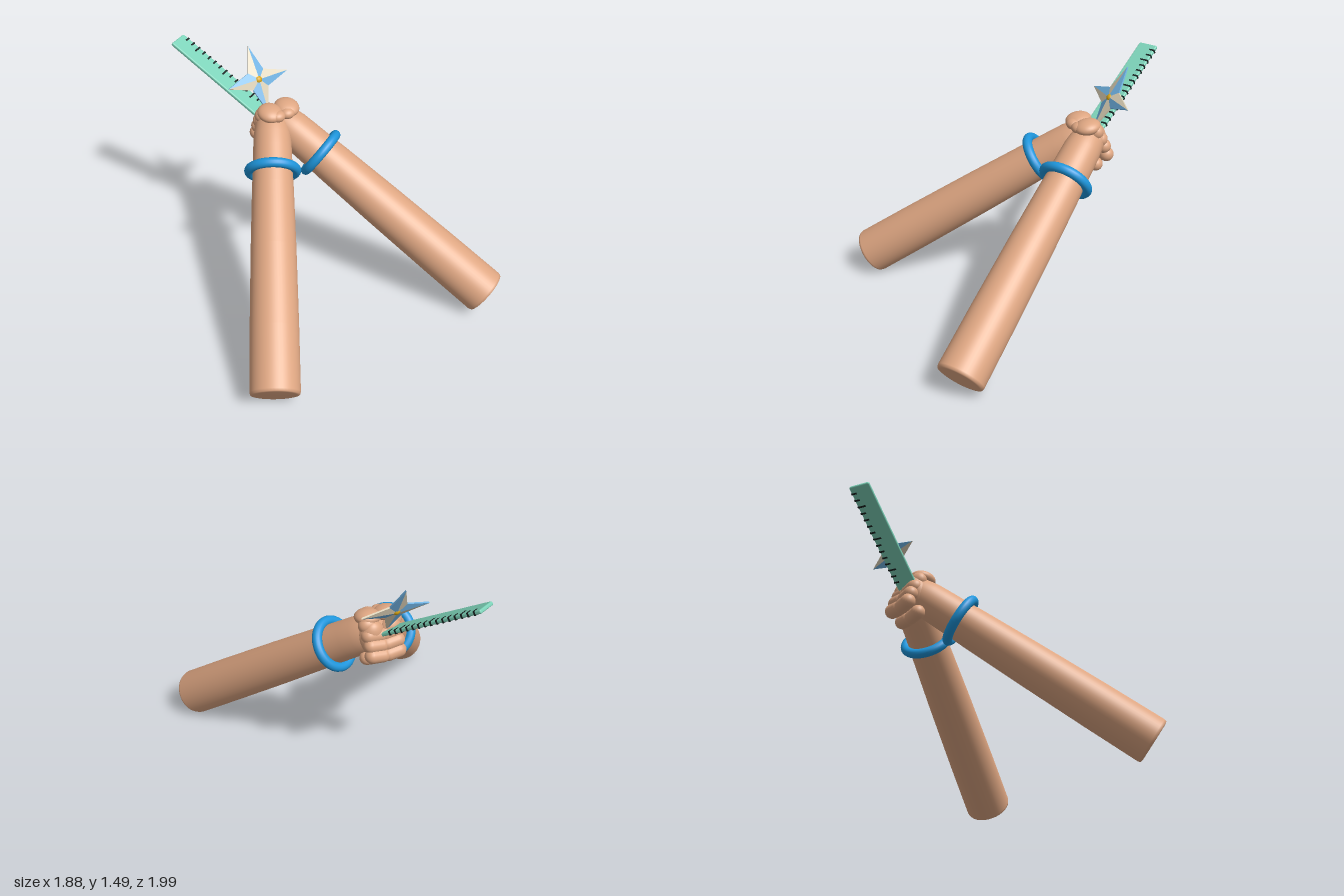
import * as THREE from 'three';
import { RoundedBoxGeometry } from 'three/addons/geometries/RoundedBoxGeometry.js';

function makeMaterial(name, color, side = THREE.FrontSide) {
  const m = new THREE.MeshStandardMaterial({ color, side });
  m.name = name;
  return m;
}

export function createModel() {
  const model = new THREE.Group();
  const skin = makeMaterial('skin', 0xdea682);
  const blue = makeMaterial('bangle blue', 0x1e96dc);
  const green = makeMaterial('ruler green', 0x7dd3b9);
  const black = makeMaterial('tick black', 0x16201f);
  const cream = makeMaterial('star cream', 0xdbd0b6);
  const sky = makeMaterial('star blue', 0x6fb2e2);
  const gold = makeMaterial('gold', 0xd9a615);

  const add = (parent, name, geometry, material, position = [0, 0, 0]) => {
    const mesh = new THREE.Mesh(geometry, material);
    mesh.name = name;
    mesh.position.set(...position);
    parent.add(mesh);
    return mesh;
  };

  // Forearm profile: radius, distance from the cut end to the hand
  const armProfile = [
    [0, 0], [0.13, 0], [0.146, 0.004], [0.151, 0.02], [0.148, 0.4], [0.14, 0.9], [0.13, 1.3],
    [0.125, 1.42], [0.122, 1.55], [0.119, 1.64], [0.108, 1.72], [0.08, 1.78], [0.04, 1.81], [0, 1.82],
  ].map(([r, y]) => new THREE.Vector2(r, y));

  // Soft rounded parts of one fist: name, centre, radii, tilt about x
  const fistParts = [
    ['palm', [0.06, 1.06, -0.335], [0.085, 0.13, 0.075], -0.4],
    ['thumb', [0.062, 1.18, -0.3], [0.08, 0.047, 0.085], 0.15],
    ['thumbTip', [0.036, 1.172, -0.25], [0.05, 0.036, 0.045], 0],
    ['knuckle', [0.08, 1.15, -0.345], [0.062, 0.055, 0.05], 0],
  ];
  // Curled fingers: y, z, radius
  const fingers = [[1.09, -0.375, 0.05], [1.035, -0.405, 0.046], [0.975, -0.425, 0.047], [0.922, -0.35, 0.045]];

  for (const s of [1, -1]) {
    const side = new THREE.Group();
    side.name = s > 0 ? 'leftArm' : 'rightArm';
    model.add(side);

    const base = new THREE.Vector3(0.81 * s, 0.126, 0.895);
    const wrist = new THREE.Vector3(0.182 * s, 0.905, -0.09);
    const axis = wrist.clone().sub(base).normalize();

    const arm = add(side, 'forearm', new THREE.LatheGeometry(armProfile, 48), skin, base.toArray());
    arm.quaternion.setFromUnitVectors(new THREE.Vector3(0, 1, 0), axis);

    const bangle = add(side, 'bangle', new THREE.TorusGeometry(0.148, 0.031, 16, 56), blue, wrist.toArray());
    bangle.quaternion.setFromUnitVectors(new THREE.Vector3(0, 0, 1), axis);

    for (const [name, [x, y, z], radii, tilt] of fistParts) {
      const part = add(side, name, new THREE.SphereGeometry(1, 28, 20), skin, [x * s, y, z]);
      part.scale.set(...radii);
      part.rotation.x = tilt;
    }
    fingers.forEach(([y, z, r], i) => {
      const finger = add(side, 'finger' + (i + 1), new THREE.CapsuleGeometry(r, 0.07, 8, 20), skin, [0.053 * s, y, z]);
      finger.rotation.z = Math.PI / 2 + 0.12 * s;
    });
  }

  // Ruler: local x is its width, local y its length
  const ruler = new THREE.Group();
  ruler.name = 'ruler';
  const length = 0.82, width = 0.134, thick = 0.024;
  const along = new THREE.Vector3(-0.32, 0.4, -0.6).normalize();
  const across = new THREE.Vector3(0.12, 0, -0.06);
  across.addScaledVector(along, -across.dot(along)).normalize();
  const normal = across.clone().cross(along);
  ruler.quaternion.setFromRotationMatrix(new THREE.Matrix4().makeBasis(across, along, normal));
  ruler.position.set(-0.34, 1.487, -0.962).addScaledVector(along, -length / 2);
  model.add(ruler);
  add(ruler, 'rulerBody', new RoundedBoxGeometry(width, length, thick, 3, 0.009), green);
  // Tick marks wrap around one long edge
  for (let i = 0; i < 15; i++) {
    const w = i % 5 === 2 ? 0.055 : 0.036;
    add(ruler, 'tick', new THREE.BoxGeometry(w, 0.011, thick + 0.004), black,
      [width / 2 + 0.002 - w / 2, length / 2 - 0.045 - i * 0.046, 0]);
  }

  // Four-pointed star with two-tone bevelled points
  const star = new THREE.Group();
  star.name = 'star';
  star.position.set(-0.02, 1.308, -0.505);
  star.rotation.x = -0.556;
  model.add(star);
  const facets = { cream: [], sky: [] };
  const tip = 0.22, notch = 0.056, ridge = 0.02, rim = 0.005;
  for (let k = 0; k < 4; k++) {
    const a = k * Math.PI / 2, c = Math.cos(a), n = Math.sin(a);
    const at = (x, y, z) => [x * c - y * n, x * n + y * c, z];
    for (const h of [-1, 1]) {
      const out = h < 0 ? facets.cream : facets.sky;
      const inner = z => at(h * notch, notch, z), outer = z => at(0, tip, z);
      // Front and back facets, then the thin rim between them
      const tris = [
        [at(0, 0, ridge), inner(rim), outer(rim)],
        [at(0, 0, -ridge), outer(-rim), inner(-rim)],
        [inner(rim), inner(-rim), outer(-rim)],
        [inner(rim), outer(-rim), outer(rim)],
      ];
      for (const [p, q, r] of tris) out.push(...(h > 0 ? [p, q, r] : [p, r, q]).flat());
    }
  }
  for (const [key, material] of [['cream', cream], ['sky', sky]]) {
    const g = new THREE.BufferGeometry();
    g.setAttribute('position', new THREE.Float32BufferAttribute(facets[key], 3));
    g.computeVertexNormals();
    add(star, key + 'Facets', g, material);
  }
  add(star, 'starBead', new THREE.SphereGeometry(0.027, 24, 16), gold);

  return model;
}
